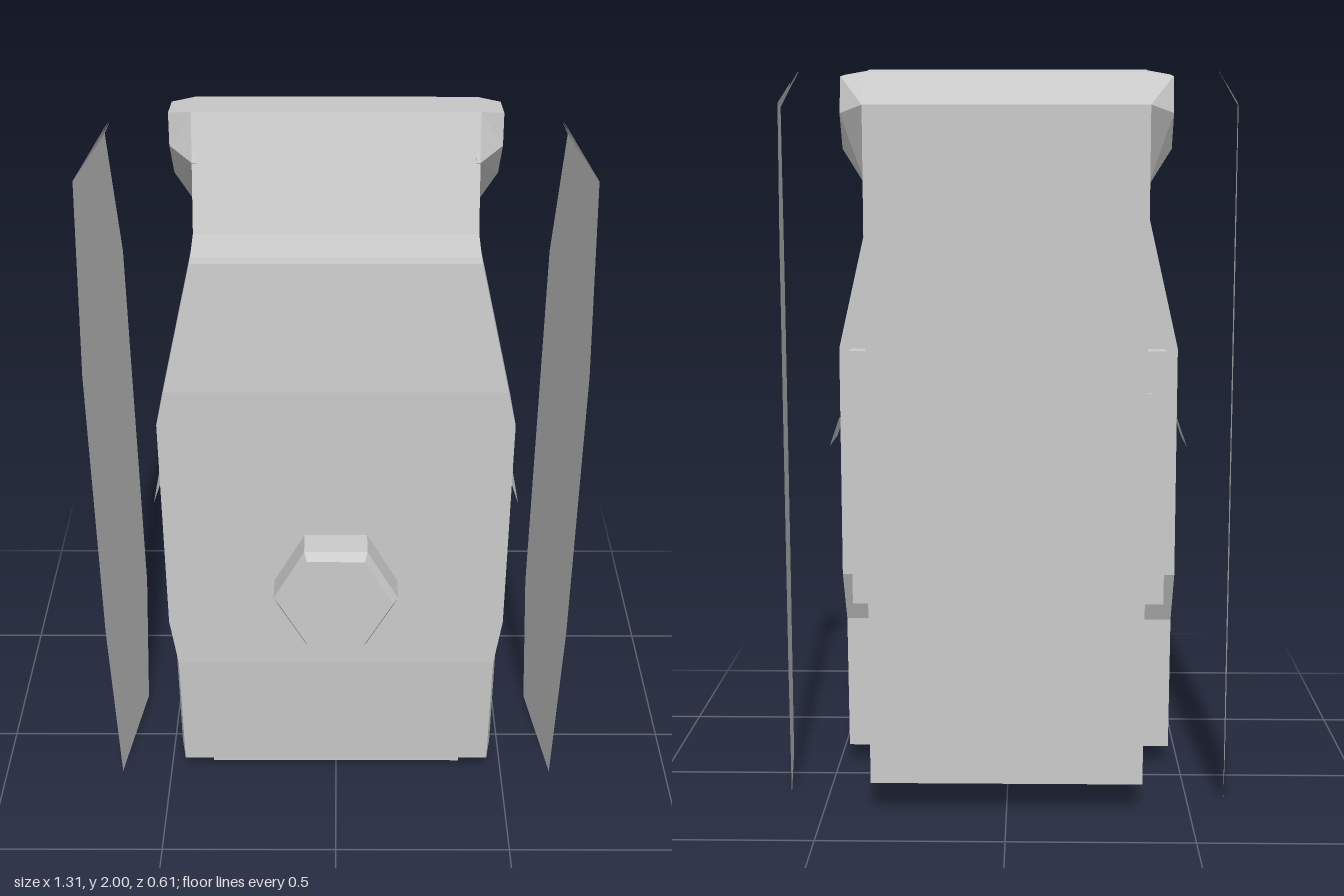
import * as THREE from 'three';

const grey = new THREE.MeshStandardMaterial({ color: 0xcccccc, flatShading: true });
const sheet = new THREE.MeshStandardMaterial({ color: 0xcccccc, flatShading: true, side: THREE.DoubleSide });

// Joins rings of equal length into a flat-shaded solid with convex end caps.
function loft(rings) {
  const tris = [];
  const n = rings[0].length;
  for (let r = 0; r + 1 < rings.length; r++) {
    for (let i = 0; i < n; i++) {
      const j = (i + 1) % n;
      const [a, b, c, d] = [rings[r][i], rings[r][j], rings[r + 1][j], rings[r + 1][i]];
      tris.push([a, b, c], [a, c, d]);
    }
  }
  const end = rings[rings.length - 1];
  for (let i = 1; i + 1 < n; i++) {
    tris.push([rings[0][0], rings[0][i + 1], rings[0][i]], [end[0], end[i], end[i + 1]]);
  }
  // Turn the faces outward if the enclosed volume is negative.
  const v = (p) => new THREE.Vector3(...p);
  const volume = tris.reduce((s, [a, b, c]) => s + v(a).dot(v(b).cross(v(c))), 0);
  if (volume < 0) tris.forEach((t) => t.reverse());
  const g = new THREE.BufferGeometry();
  g.setAttribute('position', new THREE.Float32BufferAttribute(tris.flat(2), 3));
  g.computeVertexNormals();
  return g;
}

// Flat outline in (z, y), bent into place by a rule giving x.
function sidePanel(outline, xAt) {
  const g = new THREE.ShapeGeometry(new THREE.Shape(outline.map((p) => new THREE.Vector2(...p))));
  const pos = g.attributes.position;
  for (let i = 0; i < pos.count; i++) {
    const z = pos.getX(i), y = pos.getY(i);
    pos.setXYZ(i, xAt(z, y), y, z);
  }
  g.computeVertexNormals();
  return g;
}

export function createModel() {
  const model = new THREE.Group();
  model.name = 'backpackUnit';
  const add = (name, geometry, material = grey, parent = model) => {
    const m = new THREE.Mesh(geometry, material);
    m.name = name;
    parent.add(m);
    return m;
  };

  // Core: side profile in (z, y) pulled across the width
  const profile = [[-0.305, 0.085], [0.165, 0.04], [0.165, 1.69], [0.02, 1.71],
    [-0.085, 2.0], [-0.24, 1.985], [-0.305, 1.9]];
  const core = new THREE.ExtrudeGeometry(
    new THREE.Shape(profile.map((p) => new THREE.Vector2(...p))), { depth: 0.74, bevelEnabled: false });
  add('coreBody', core.translate(0, 0, -0.37).rotateY(-Math.PI / 2));

  // Front shell: y, half width at front, half width at back, front z, back z
  const shell = [
    [0.055, 0.455, 0.47, 0.17, 0.09],
    [0.44, 0.455, 0.472, 0.195, 0.09],
    [0.59, 0.475, 0.475, 0.197, 0.02],
    [1.24, 0.475, 0.475, 0.197, 0.02],
    [1.34, 0.452, 0.452, 0.197, 0.02],
    [1.695, 0.37, 0.37, 0.17, 0.02],
  ];
  add('frontShell', loft(shell.map(([y, wf, wb, zf, zb]) =>
    [[-wf, y, zf], [wf, y, zf], [wb, y, zb], [-wb, y, zb]])));

  // Hexagonal boss with a bevelled rim
  const hex = (r, z) => Array.from({ length: 6 }, (_, i) =>
    [r * Math.cos(i * Math.PI / 3), 0.735 + 0.9 * r * Math.sin(i * Math.PI / 3) / 0.866, z]);
  add('hexBoss', loft([hex(0.172, 0.18), hex(0.172, 0.28), hex(0.157, 0.308)]));

  // Parts repeated on both sides
  for (const s of [1, -1]) {
    const side = new THREE.Group();
    side.name = s > 0 ? 'leftSide' : 'rightSide';
    model.add(side);

    // Bevelled shoulder at the top of the core
    const inner = [[-0.305, 1.9], [-0.24, 1.985], [-0.09, 1.998], [-0.04, 1.88], [-0.2, 1.69]];
    const outer = [[-0.26, 1.88], [-0.23, 1.975], [-0.12, 1.985], [-0.11, 1.9], [-0.2, 1.79]];
    const ring = (x, pts) => pts.map(([z, y]) => [s * x, y, z]);
    add('shoulder', loft([ring(0.36, inner), ring(0.37, inner), ring(0.432, outer)]), grey, side);

    // Rail behind the shell and a slim fin on the core
    add('rail', new THREE.BoxGeometry(0.08, 0.72, 0.075), grey, side).position.set(s * 0.4, 0.88, -0.008);
    add('fin', new THREE.BoxGeometry(0.04, 0.28, 0.015), grey, side).position.set(s * 0.375, 0.99, -0.1);

    // Small slanted tab reaching towards the side panel
    add('tab', sidePanel([[-0.035, 0.97], [0.16, 0.97], [0.15, 1.05], [-0.035, 1.05]],
      (z, y) => s * (0.5 - 0.35 * (y - 0.97))), sheet, side);

    // Detached side panel, with its notched top leaning inward
    const panelX = (z, y) => s * (0.627 + 0.125 * z - 0.6 * Math.max(0, y - 1.91));
    add('sidePanel', sidePanel([[0.17, 0], [0.22, 0.57], [0.22, 1.4], [0.155, 1.91],
      [-0.17, 1.91], [-0.265, 1.53], [-0.265, 0.4], [-0.185, 0]], panelX), sheet, side);
    add('sidePanelTop', sidePanel([[0.155, 1.91], [0.03, 2], [-0.022, 2], [-0.022, 1.96],
      [-0.1, 1.967], [-0.17, 1.91]], panelX), sheet, side);
  }
  return model;
}
